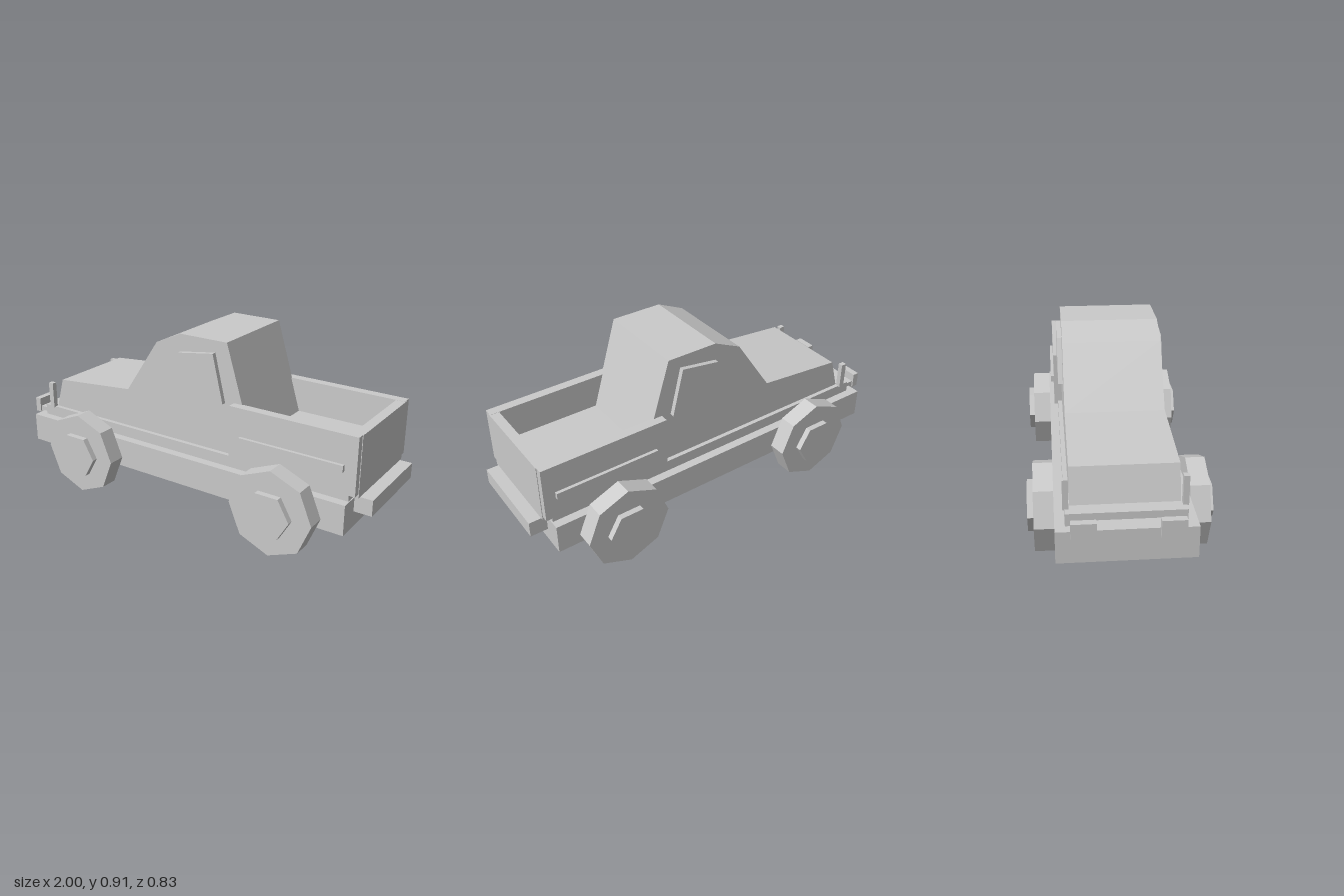
import * as THREE from 'three';

export function createModel() {
  const truck = new THREE.Group();
  truck.name = 'pickupTruck';
  const grey = new THREE.MeshStandardMaterial({ color: 0xcacaca });
  grey.name = 'lightGrey';
  grey.flatShading = true;

  const add = (name, geometry) => {
    const mesh = new THREE.Mesh(geometry, grey);
    mesh.name = name;
    truck.add(mesh);
    return mesh;
  };

  // Box given by its limits on each axis
  const box = (name, x0, x1, y0, y1, z0, z1) =>
    add(name, new THREE.BoxGeometry(x1 - x0, y1 - y0, z1 - z0))
      .position.set((x0 + x1) / 2, (y0 + y1) / 2, (z0 + z1) / 2);

  // Side outline extruded between two z values
  const slab = (name, points, z0, z1) => {
    const shape = new THREE.Shape(points.map(([x, y]) => new THREE.Vector2(x, y)));
    const geometry = new THREE.ExtrudeGeometry(shape, { depth: z1 - z0, bevelEnabled: false });
    add(name, geometry).position.z = z0;
  };

  // Flat-sided disc lying across the truck
  const disc = (name, radius, sides, turn, x, z0, z1) => {
    const geometry = new THREE.CylinderGeometry(radius, radius, z1 - z0, sides);
    geometry.rotateY(turn).rotateX(Math.PI / 2);
    add(name, geometry).position.set(x, 0.211, (z0 + z1) / 2);
  };

  // Lower body
  box('chassis', -0.945, 0.905, 0.164, 0.311, -0.297, 0.297);
  box('sill', -0.9, 0.9, 0.31, 0.367, -0.254, 0.254);
  box('frontBumper', -0.977, -0.89, 0.258, 0.333, -0.228, 0.228);
  box('rearBumper', 0.915, 1, 0.256, 0.333, -0.225, 0.225);

  // Bonnet and cab in one outline
  slab('cab', [
    [-0.832, 0.363], [0.424, 0.363], [0.259, 0.906], [0, 0.906],
    [-0.14, 0.842], [-0.33, 0.564], [-0.785, 0.523],
  ], -0.233, 0.233);

  // Load bed
  box('bedFloor', 0.3, 0.92, 0.35, 0.46, -0.23, 0.23);
  box('tailgate', 0.893, 0.94, 0.333, 0.625, -0.24, 0.24);

  // Parts repeated on both flanks
  for (const side of [-1, 1]) {
    const label = side > 0 ? 'front' : 'back';
    const span = (a, b) => (side > 0 ? [a, b] : [-b, -a]);
    box(`${label}BedWall`, 0.3, 0.937, 0.35, 0.626, ...span(0.226, 0.273));
    box(`${label}BedTrim`, 0.36, 0.88, 0.456, 0.488, ...span(0.27, 0.289));
    box(`${label}BumperGuard`, -1, -0.967, 0.3, 0.377, ...span(0.13, 0.235));
    box(`${label}MarkerPost`, -0.861, -0.832, 0.363, 0.5, ...span(0.237, 0.262));
    slab(`${label}Window`, [
      [-0.093, 0.616], [0.252, 0.616], [0.197, 0.849], [0, 0.82],
    ], ...span(0.23, 0.256));

    // Octagonal tyres with hexagonal hubs
    for (const x of [-0.543, 0.585]) {
      disc(`${label}Tyre`, 0.211, 8, 0, x, ...span(0.297, 0.385));
      disc(`${label}Hub`, 0.116, 6, Math.PI / 6, x, ...span(0.38, 0.414));
    }
  }
  return truck;
}
